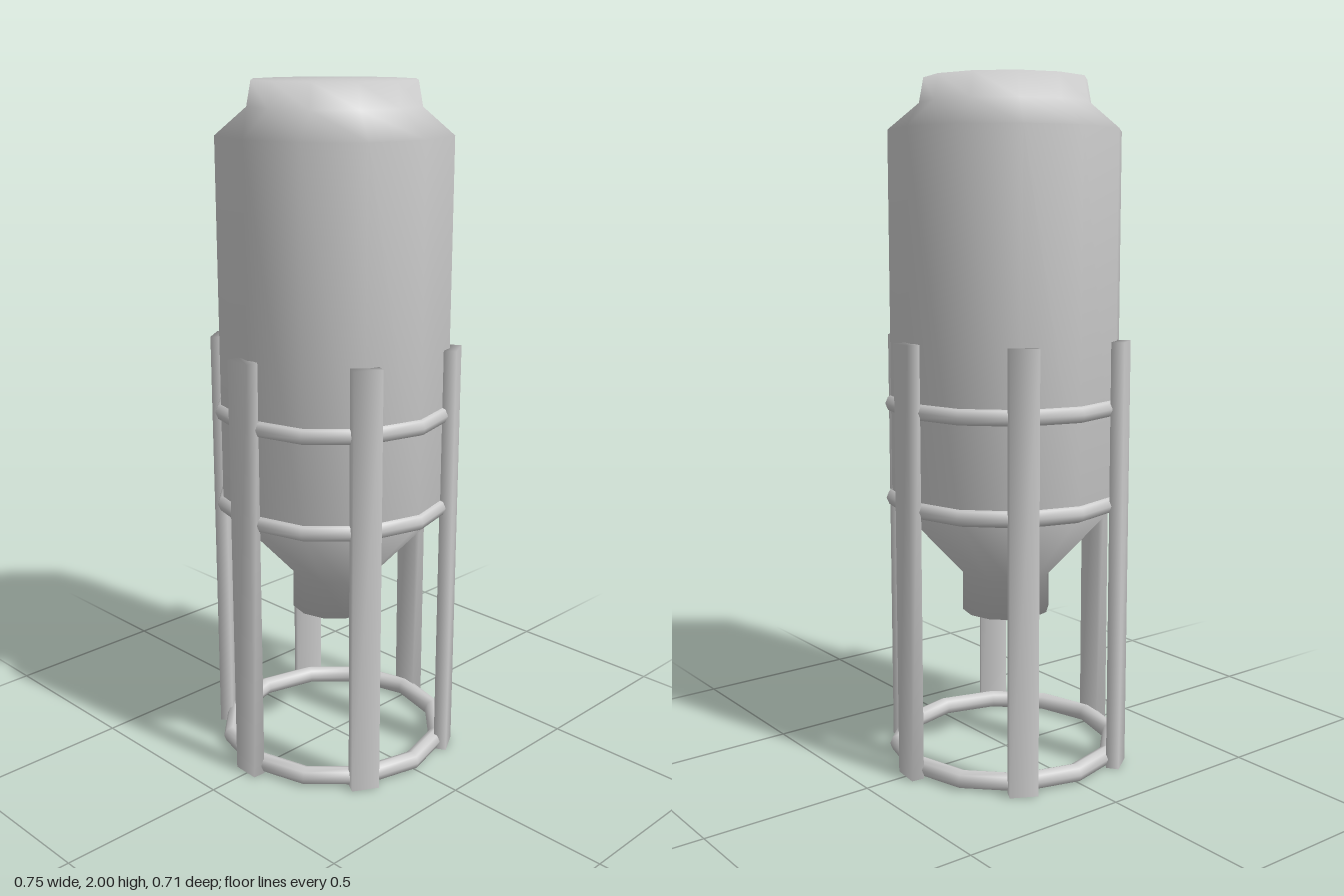
import * as THREE from 'three';
import { mergeVertices } from 'three/addons/utils/BufferGeometryUtils.js';

const SIDES = 12;
const material = new THREE.MeshStandardMaterial({ color: 0xcccccc });

// Weld corners so the shading runs smoothly around them
function welded(geometry) {
  geometry.deleteAttribute('normal');
  geometry.deleteAttribute('uv');
  const merged = mergeVertices(geometry);
  merged.computeVertexNormals();
  return merged;
}

export function createModel() {
  const model = new THREE.Group();
  model.name = 'silo';

  const add = (name, geometry) => {
    const mesh = new THREE.Mesh(geometry, material);
    mesh.name = name;
    model.add(mesh);
    return mesh;
  };

  // Tank: outlet spout, hopper cone, cylinder, shoulder and closed neck
  const profile = [
    [0, 0.445], [0.13, 0.445], [0.13, 0.56], [0.338, 0.785],
    [0.338, 1.855], [0.248, 1.93], [0.235, 2], [0, 2],
  ].map(([r, y]) => new THREE.Vector2(r, y));
  add('tank', new THREE.LatheGeometry(profile, SIDES));

  // Hoops around the tank and at the foot of the legs
  const hoop = new THREE.TorusGeometry(0.328, 0.027, 8, SIDES).rotateX(Math.PI / 2);
  const hoops = { footHoop: 0.031, lowerHoop: 0.795, upperHoop: 1.075 };
  for (const [name, y] of Object.entries(hoops)) add(name, hoop).position.y = y;

  // Six flat legs, each slightly twisted off the radial direction
  const leg = welded(new THREE.BoxGeometry(0.038, 1.26, 0.082));
  const twists = [-6, 2, 5, -2, 0, 0];
  twists.forEach((twist, i) => {
    const angle = i * Math.PI / 3;
    const mesh = add('leg' + (i + 1), leg);
    mesh.position.set(0.351 * Math.cos(angle), 0.635, -0.004 - 0.348 * Math.sin(angle));
    mesh.rotation.y = angle + THREE.MathUtils.degToRad(twist);
  });

  return model;
}
